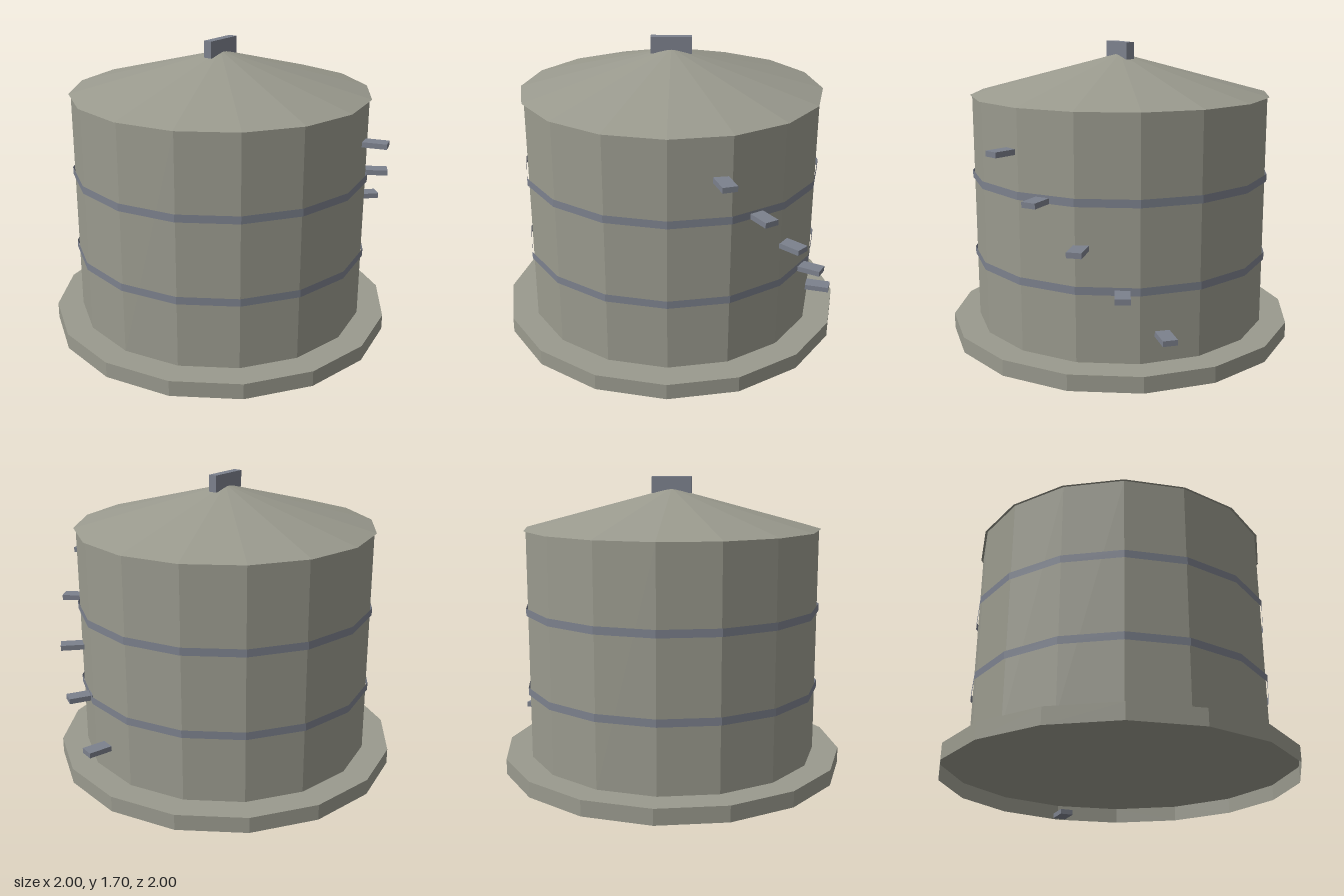
import * as THREE from 'three';

const SIDES = 16;

export function createModel() {
  const model = new THREE.Group();
  model.name = 'roundTank';

  const stone = new THREE.MeshStandardMaterial({ color: 0x9a9a8e, flatShading: true, side: THREE.DoubleSide });
  stone.name = 'warm grey';
  const metal = new THREE.MeshStandardMaterial({ color: 0x7c818d, flatShading: true, side: THREE.DoubleSide });
  metal.name = 'blue grey metal';

  const add = (name, geometry, material, x, y, z) => {
    const mesh = new THREE.Mesh(geometry, material);
    mesh.name = name;
    mesh.position.set(x, y, z);
    model.add(mesh);
    return mesh;
  };
  // Sixteen-sided open ring wall between two heights
  const ring = (name, radius, y0, y1, material) =>
    add(name, new THREE.CylinderGeometry(radius, radius, y1 - y0, SIDES, 1, true), material, 0, (y0 + y1) / 2, 0);

  // Plinth, hollow underneath
  ring('baseRim', 1, 0, 0.09, stone);
  add('baseTop', new THREE.CircleGeometry(1, SIDES).rotateX(-Math.PI / 2), stone, 0, 0.09, 0);

  // Wall and conical roof with a slight overhang
  ring('wall', 0.848, 0.09, 1.4, stone);
  add('roof', new THREE.ConeGeometry(0.861, 0.23, SIDES), stone, 0, 1.515, 0);

  // Thin hoops around the wall
  ring('lowerBand', 0.859, 0.464, 0.507, metal);
  ring('upperBand', 0.859, 0.924, 0.967, metal);

  // Handle on the roof peak
  add('roofHandle', new THREE.BoxGeometry(0.23, 0.095, 0.05), metal, 0, 1.648, 0);

  // Steps spiralling up the wall; the first is tucked under the base
  for (let i = 0; i < 6; i++) {
    const angle = 0.25 * i;
    const step = add('step' + (i + 1), new THREE.BoxGeometry(0.137, 0.03, 0.08), metal,
      0.903 * Math.cos(angle), 0.015 + 0.231 * i, 0.903 * Math.sin(angle));
    step.rotation.y = -angle;
  }

  return model;
}
